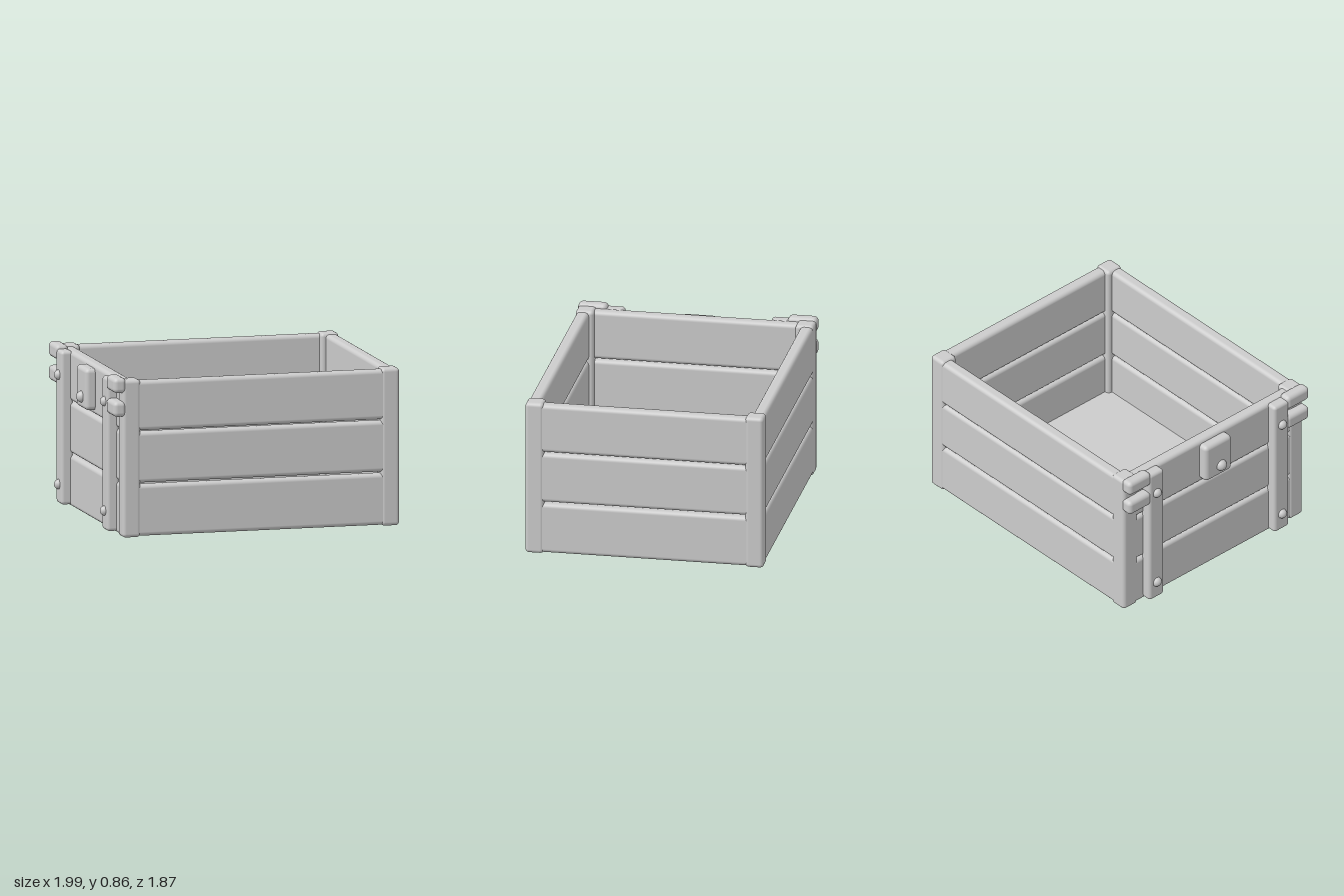
import * as THREE from 'three';
import { RoundedBoxGeometry } from 'three/addons/geometries/RoundedBoxGeometry.js';

const HX = 0.765, HZ = 0.645;   // outer half sizes of the crate
const WALL = 0.07, POST = 0.1;

export function createModel() {
  const model = new THREE.Group();
  model.name = 'crate';
  const grey = new THREE.MeshStandardMaterial({ color: 0xcccccc });
  grey.name = 'plain grey';

  const crate = new THREE.Group();
  crate.name = 'crateBody';
  crate.rotation.y = THREE.MathUtils.degToRad(-28);
  crate.position.set(0.018, 0, 0.006);
  model.add(crate);

  const add = (name, geometry, x, y, z) => {
    const mesh = new THREE.Mesh(geometry, grey);
    mesh.name = name;
    mesh.position.set(x, y, z);
    crate.add(mesh);
    return mesh;
  };
  // Rounded block given by its lower and upper limits on each axis
  const block = (name, x0, x1, y0, y1, z0, z1, r) =>
    add(name, new RoundedBoxGeometry(x1 - x0, y1 - y0, z1 - z0, 3, r),
      (x0 + x1) / 2, (y0 + y1) / 2, (z0 + z1) / 2);

  // Floor
  add('floor', new THREE.BoxGeometry(2 * HX - 0.06, 0.04, 2 * HZ - 0.06), 0, 0.03, 0);

  // Corner posts
  for (const sx of [-1, 1]) for (const sz of [-1, 1]) {
    const x = sx * (HX - POST / 2), z = sz * (HZ - POST / 2);
    block('cornerPost', x - POST / 2, x + POST / 2, 0, 0.85, z - POST / 2, z + POST / 2, 0.02);
  }

  // Three slats on each of the four sides
  const inset = 0.004;
  for (const [y0, y1] of [[0.005, 0.282], [0.292, 0.566], [0.574, 0.842]]) {
    for (const s of [-1, 1]) {
      const zc = s * (HZ - inset - WALL / 2), xc = s * (HX - inset - WALL / 2);
      block('longSlat', -HX + 0.02, HX - 0.02, y0, y1, zc - WALL / 2, zc + WALL / 2, 0.022);
      block('shortSlat', xc - WALL / 2, xc + WALL / 2, y0, y1, -HZ + 0.02, HZ - 0.02, 0.022);
    }
  }

  // Domed bolt head pointing out of the hardware side
  const bolt = (name, r, x, y, z) => {
    const dome = new THREE.SphereGeometry(r, 20, 8, 0, Math.PI * 2, 0, Math.PI / 2);
    dome.rotateZ(Math.PI / 2);
    add(name, dome, x, y, z);
  };

  // Vertical straps with bolts, and paired clasps at the corners
  for (const s of [-1, 1]) {
    const z = s * 0.45;
    block('strap', -0.812, -0.745, 0.015, 0.842, z - 0.053, z + 0.053, 0.018);
    for (const y of [0.12, 0.71]) bolt('strapBolt', 0.027, -0.81, y, z);
    const zc = s * 0.568;
    for (const [y0, y1] of [[0.78, 0.862], [0.652, 0.735]])
      block('clasp', -0.815, -0.745, y0, y1, zc - 0.08, zc + 0.08, 0.024);
  }

  // Latch plate with its knob
  block('latchPlate', -0.815, -0.745, 0.6, 0.825, -0.1, 0.09, 0.024);
  bolt('latchKnob', 0.032, -0.812, 0.665, 0.01);

  return model;
}
